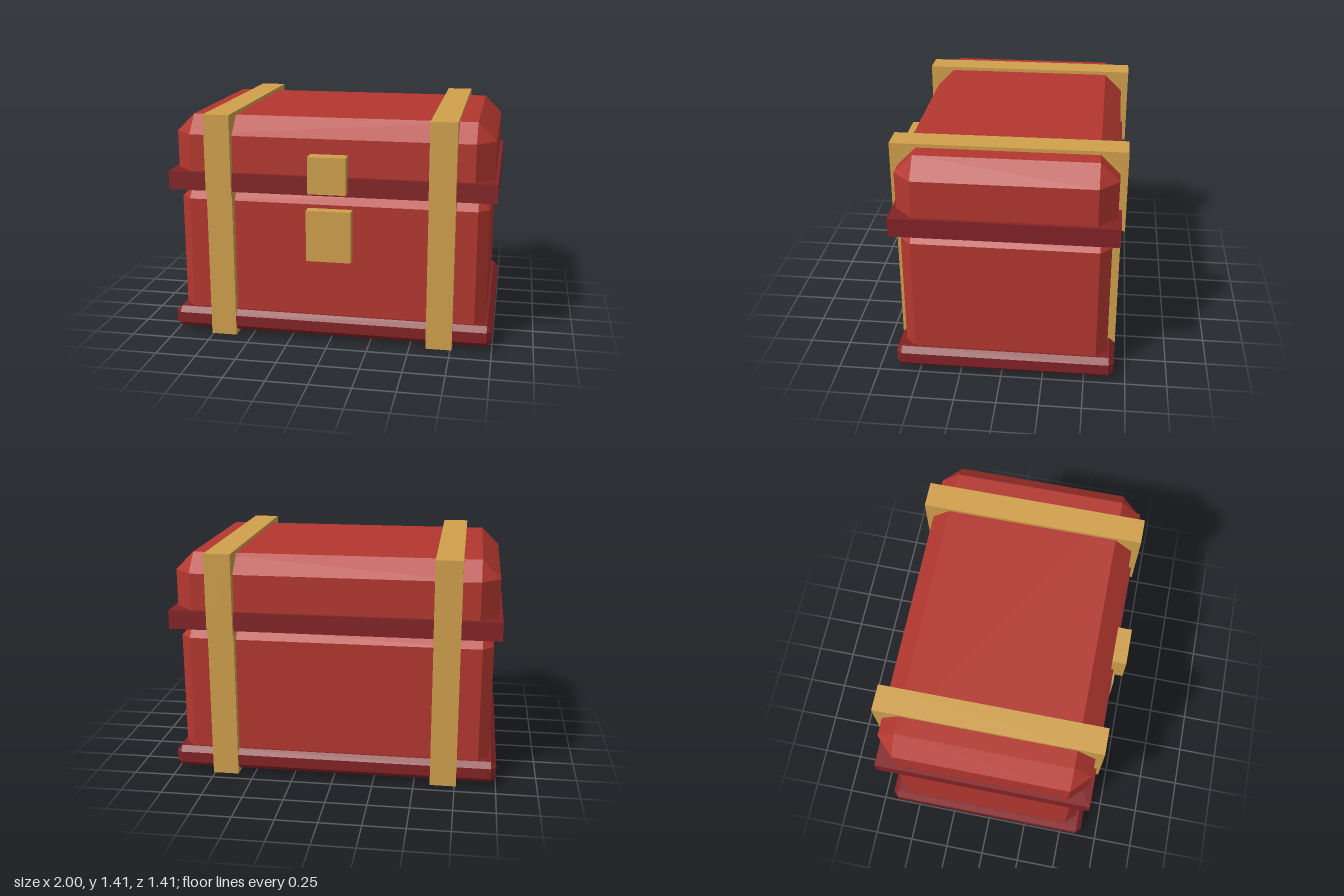
import * as THREE from 'three';
import { ConvexGeometry } from 'three/addons/geometries/ConvexGeometry.js';

const mat = (name, color) => {
  const m = new THREE.MeshStandardMaterial({ color });
  m.name = name;
  return m;
};

// Box with every edge cut by a 45 degree chamfer c
function chamferBox(w, h, d, c) {
  const points = [];
  for (const x of [-w / 2, w / 2])
    for (const y of [-h / 2, h / 2])
      for (const z of [-d / 2, d / 2]) {
        const ix = x - Math.sign(x) * c, iy = y - Math.sign(y) * c, iz = z - Math.sign(z) * c;
        points.push(
          new THREE.Vector3(x, iy, iz),
          new THREE.Vector3(ix, y, iz),
          new THREE.Vector3(ix, iy, z));
      }
  return new ConvexGeometry(points);
}

export function createModel() {
  const chest = new THREE.Group();
  chest.name = 'chest';
  const red = mat('red', 0xb3372f);
  const darkRed = mat('darkRed', 0x832326);
  const gold = mat('gold', 0xd0a04c);

  // Part given by x centre, width, y range, z range and optional chamfer
  function part(name, material, x, w, y0, y1, z0, z1, c = 0) {
    const h = y1 - y0, d = z1 - z0;
    const geometry = c ? chamferBox(w, h, d, c) : new THREE.BoxGeometry(w, h, d);
    const mesh = new THREE.Mesh(geometry, material);
    mesh.name = name;
    mesh.position.set(x, (y0 + y1) / 2, (z0 + z1) / 2);
    chest.add(mesh);
  }

  // Box and lid, with their darker base and rim
  part('base', darkRed, 0, 2, 0.027, 0.16, -0.68, 0.64, 0.033);
  part('body', red, 0, 1.91, 0.045, 0.935, -0.635, 0.592, 0.067);
  part('rim', darkRed, 0, 2, 0.935, 1.05, -0.68, 0.64);
  part('lid', red, 0, 1.955, 0.938, 1.388, -0.66, 0.615, 0.111);

  // Metal straps around box and lid
  for (const [side, x] of [['left', 0.68], ['right', -0.68]]) {
    part(side + 'LowerStrap', gold, x, 0.16, 0, 0.912, -0.682, 0.642);
    part(side + 'UpperStrap', gold, x, 0.16, 0.912, 1.41, -0.705, 0.66);
  }

  // Clasp and lock plate on the front
  part('clasp', gold, 0, 0.23, 0.96, 1.185, 0.6, 0.705);
  part('lockPlate', gold, 0, 0.275, 0.527, 0.845, 0.57, 0.66);

  return chest;
}
